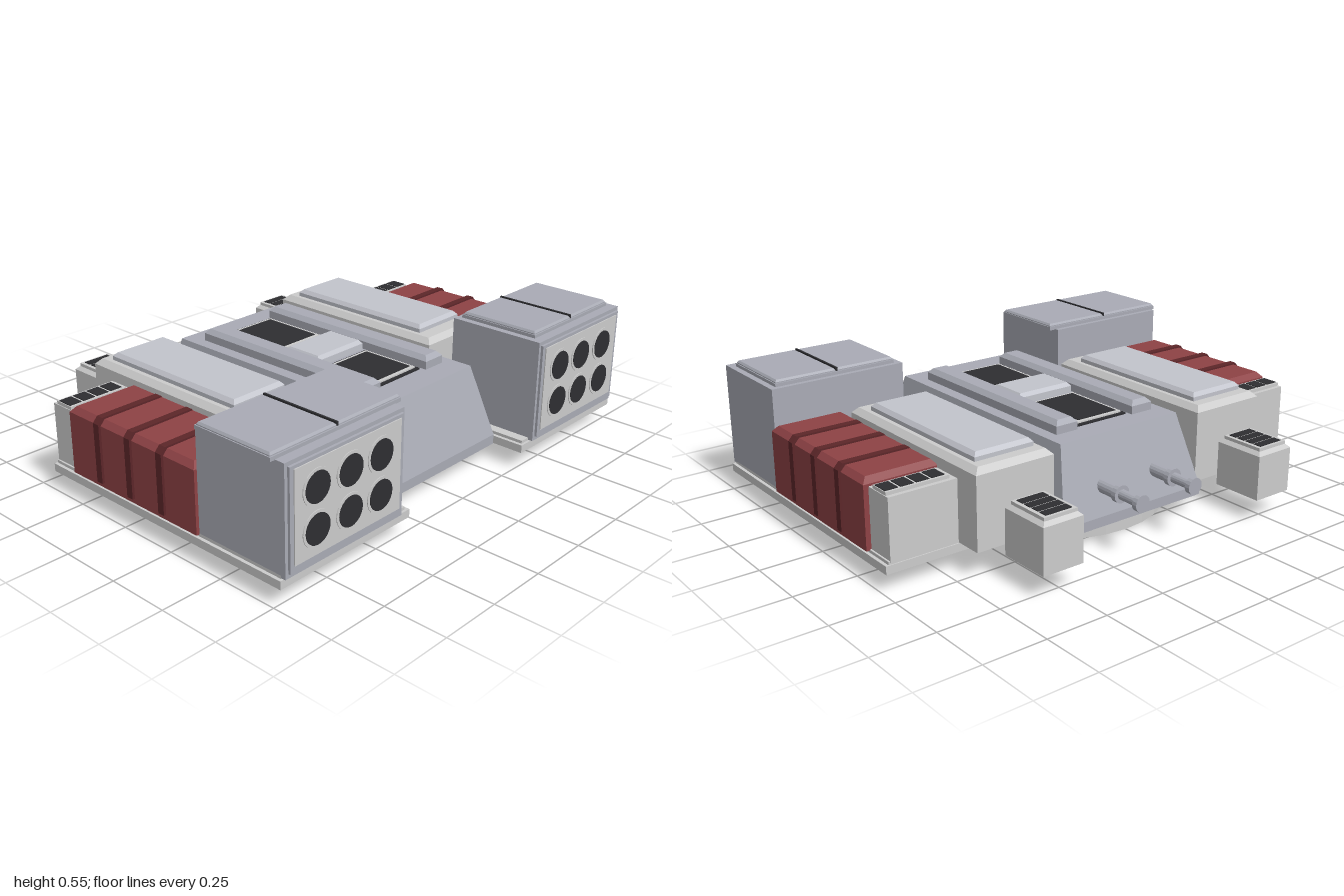
import * as THREE from 'three';

const mat = (color) => new THREE.MeshStandardMaterial({ color, flatShading: true });
const GREY = mat(0xcccccc), HULL = mat(0xa9abb5), PANEL = mat(0xc2c4cc);
const DARK = mat(0x2e2e31), RED = mat(0x8e4245), BAND = mat(0x5c2629);

function add(parent, name, geo, material, x = 0, y = 0, z = 0) {
  const m = new THREE.Mesh(geo, material);
  m.name = name;
  m.position.set(x, y, z);
  parent.add(m);
  return m;
}

// Box given by its extents [x0, x1], [y0, y1], [z0, z1]
function block(parent, name, material, [x0, x1], [y0, y1], [z0, z1]) {
  return add(parent, name, new THREE.BoxGeometry(x1 - x0, y1 - y0, z1 - z0), material,
    (x0 + x1) / 2, (y0 + y1) / 2, (z0 + z1) / 2);
}

// Box whose top edge slopes inward: drop = slope height, ix / iz = inset of the top
function bevelled(parent, name, material, [x0, x1], [y0, y1], [z0, z1], drop, ix, iz = ix) {
  const w = x1 - x0, h = y1 - y0, d = z1 - z0;
  const geo = new THREE.BoxGeometry(w, h, d, 1, 2, 1);
  const p = geo.attributes.position;
  for (let i = 0; i < p.count; i++) {
    const y = p.getY(i);
    if (Math.abs(y) < h * 0.1) p.setY(i, h / 2 - drop);
    else if (y > 0) {
      p.setX(i, p.getX(i) - Math.sign(p.getX(i)) * ix);
      p.setZ(i, p.getZ(i) - Math.sign(p.getZ(i)) * iz);
    }
  }
  const flat = geo.toNonIndexed();
  flat.computeVertexNormals();
  return add(parent, name, flat, material, (x0 + x1) / 2, (y0 + y1) / 2, (z0 + z1) / 2);
}

function cylinderX(parent, name, material, r, x0, x1, y, z, sides = 16) {
  const geo = new THREE.CylinderGeometry(r, r, x1 - x0, sides).rotateZ(Math.PI / 2);
  return add(parent, name, geo, material, (x0 + x1) / 2, y, z);
}

// Extent on the chosen side, kept in rising order
const mirror = (s, a, b) => (s > 0 ? [a, b] : [-b, -a]);

function createHull(root) {
  const hull = new THREE.Group();
  hull.name = 'hull';
  root.add(hull);
  bevelled(hull, 'hullBody', HULL, [-0.58, 0.64], [0.07, 0.395], [-0.34, 0.34], 0.285, 0.09, 0.055);

  // Roof hatches with dark screens
  for (const [a, b] of [[-0.385, -0.07], [0.155, 0.43]]) {
    block(hull, 'hatchRim', DARK, [a, b], [0.39, 0.402], [-0.12, 0.12]);
    block(hull, 'hatchFrame', GREY, [a + 0.013, b - 0.013], [0.39, 0.408], [-0.107, 0.107]);
    block(hull, 'hatchScreen', DARK, [a + 0.028, b - 0.028], [0.39, 0.411], [-0.093, 0.093]);
  }
  bevelled(hull, 'roofPanel', PANEL, [-0.045, 0.13], [0.39, 0.435], [-0.13, 0.13], 0.015, 0.012);

  for (const s of [1, -1]) {
    bevelled(hull, 'roofRail', HULL, [-0.405, 0.45], [0.39, 0.445], mirror(s, 0.135, 0.235), 0.018, 0.018);
    // Barrels at the end of the hull
    const z = s * 0.13, y = 0.215;
    cylinderX(hull, 'barrel', HULL, 0.02, -0.75, -0.5, y, z);
    cylinderX(hull, 'barrelMuzzle', HULL, 0.033, -0.762, -0.74, y, z);
    cylinderX(hull, 'barrelCollar', HULL, 0.035, -0.652, -0.63, y, z);
    cylinderX(hull, 'barrelBase', HULL, 0.027, -0.63, -0.5, y, z);
  }
}

function createLauncher(side, s) {
  const pod = new THREE.Group();
  pod.name = 'launcher';
  side.add(pod);
  block(pod, 'launcherBody', HULL, [0.375, 0.78], [0.105, 0.517], mirror(s, 0.402, 0.975));
  block(pod, 'faceRim', HULL, [0.77, 0.79], [0.122, 0.502], mirror(s, 0.415, 0.962));
  block(pod, 'facePlate', GREY, [0.77, 0.794], [0.148, 0.49], mirror(s, 0.432, 0.945));

  // Two rows of three tubes
  for (const y of [0.393, 0.243]) {
    for (const z of [0.535, 0.686, 0.843]) {
      cylinderX(pod, 'tubeRing', GREY, 0.068, 0.775, 0.797, y, s * z, 24);
      cylinderX(pod, 'tubeMouth', DARK, 0.057, 0.775, 0.799, y, s * z, 24);
    }
  }

  // Lid of two leaves with a dark seam; the lid on one side is wider
  const [z0, z1] = s > 0 ? [0.372, 0.995] : [0.43, 0.95];
  block(pod, 'lidBase', HULL, [0.395, 0.74], [0.515, 0.53], mirror(s, z0, z1));
  for (const [a, b] of [[z0 + 0.004, 0.682], [0.69, z1 - 0.004]]) {
    bevelled(pod, 'lidLeaf', HULL, [0.4, 0.735], [0.525, 0.542], mirror(s, a, b), 0.008, 0.006);
  }
  block(pod, 'lidSeam', DARK, [0.4, 0.735], [0.525, 0.545], mirror(s, 0.682, 0.69));
}

function createSide(root, s) {
  const side = new THREE.Group();
  side.name = s > 0 ? 'frontSide' : 'backSide';
  root.add(side);

  // Two-step floor plate
  block(side, 'floorPlate', GREY, [-0.43, 0.77], [0.07, 0.102], mirror(s, 0.345, 0.988));
  block(side, 'floorStep', GREY, [-0.425, 0.76], [0.1, 0.114], mirror(s, 0.36, 0.975));

  // Armoured block and its raised cover
  bevelled(side, 'sideBlock', GREY, [-0.54, 0.293], [0.105, 0.412], mirror(s, 0.355, 0.69), 0.022, 0.022);
  bevelled(side, 'sideCover', PANEL, [-0.475, 0.21], [0.4, 0.443], mirror(s, 0.395, 0.65), 0.015, 0.014);

  // Tank with three straps
  bevelled(side, 'tank', RED, [-0.303, 0.375], [0.11, 0.378], mirror(s, 0.685, 0.988), 0.022, 0.02);
  for (const x of [-0.135, 0.036, 0.205]) {
    bevelled(side, 'tankStrap', BAND, [x - 0.015, x + 0.015], [0.13, 0.385], mirror(s, 0.69, 0.998), 0.022, 0, 0.02);
  }

  // Vent box beside the tank
  block(side, 'ventBox', GREY, [-0.427, -0.3], [0.105, 0.347], mirror(s, 0.685, 0.968));
  block(side, 'ventFrame', GREY, [-0.41, -0.325], [0.34, 0.36], mirror(s, 0.71, 0.965));
  for (let i = 0; i < 4; i++) {
    const z = 0.75 + i * 0.062;
    block(side, 'ventSlot', DARK, [-0.4, -0.335], [0.345, 0.363], mirror(s, z - 0.026, z + 0.026));
  }

  // Detached exhaust box with a slotted cap
  block(side, 'exhaustBox', GREY, [-0.797, -0.585], [0.09, 0.267], mirror(s, 0.432, 0.605));
  bevelled(side, 'exhaustCap', GREY, [-0.797, -0.585], [0.267, 0.282], mirror(s, 0.432, 0.605), 0.014, 0.015);
  block(side, 'exhaustFrame', GREY, [-0.782, -0.6], [0.28, 0.295], mirror(s, 0.447, 0.59));
  for (let i = 0; i < 4; i++) {
    const x = -0.754 + i * 0.042;
    block(side, 'exhaustSlot', DARK, [x - 0.017, x + 0.017], [0.285, 0.298], mirror(s, 0.462, 0.575));
  }

  createLauncher(side, s);
}

export function createModel() {
  const root = new THREE.Group();
  root.name = 'turret';

  // Round turntable the turret stands on
  add(root, 'turntable', new THREE.CylinderGeometry(0.472, 0.472, 0.075, 32), GREY, -0.063, 0.0375, 0);
  createHull(root);
  for (const s of [1, -1]) createSide(root, s);
  return root;
}
